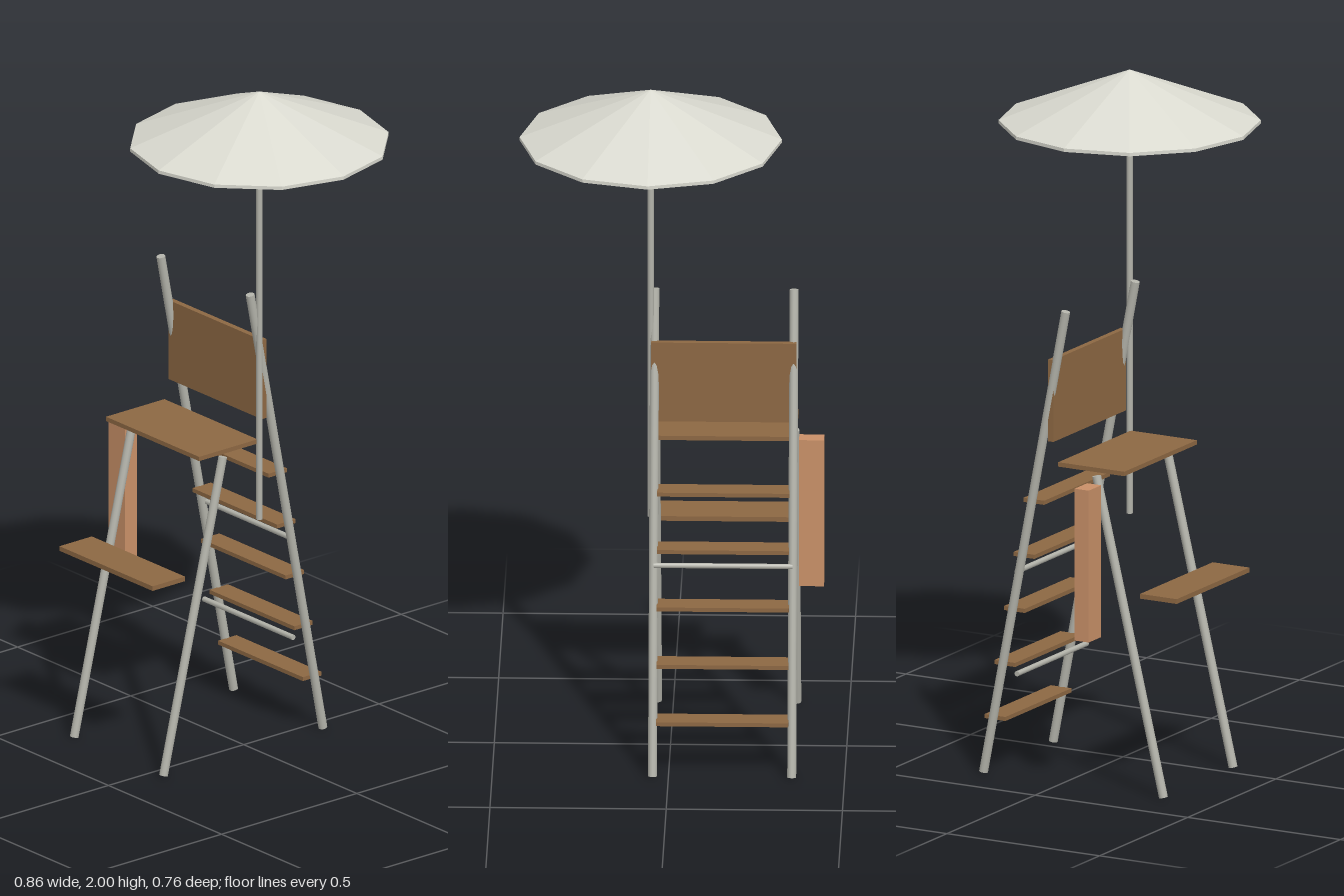
import * as THREE from 'three';

const material = (name, color, flatShading = false) => {
  const m = new THREE.MeshStandardMaterial({ color, flatShading });
  m.name = name;
  return m;
};

export function createModel() {
  const model = new THREE.Group();
  model.name = 'lifeguardChair';

  const wood = material('wood', 0x8d6843);
  const metal = material('metal', 0xb4b4ab);
  const canvas = material('canvas', 0xdadad0, true);
  const foam = material('foam', 0xc99068);

  const add = (name, geometry, mat, x = 0, y = 0, z = 0) => {
    const mesh = new THREE.Mesh(geometry, mat);
    mesh.name = name;
    mesh.position.set(x, y, z);
    model.add(mesh);
    return mesh;
  };

  // Box given by its extents on each axis
  const board = (name, mat, [x0, x1], [y0, y1], [z0, z1]) =>
    add(name, new THREE.BoxGeometry(x1 - x0, y1 - y0, z1 - z0), mat,
      (x0 + x1) / 2, (y0 + y1) / 2, (z0 + z1) / 2);

  // Round bar between two points
  const bar = (name, from, to, radius, sides = 12) => {
    const a = new THREE.Vector3(...from), b = new THREE.Vector3(...to);
    const dir = b.clone().sub(a);
    const mesh = add(name, new THREE.CylinderGeometry(radius, radius, dir.length(), sides), metal);
    mesh.position.copy(a).add(b).multiplyScalar(0.5);
    mesh.quaternion.setFromUnitVectors(new THREE.Vector3(0, 1, 0), dir.normalize());
    return mesh;
  };

  // Leaning frame: tall ladder rails behind, short legs in front
  const left = 0.045, right = -0.35;
  for (const [side, x] of [['left', left], ['right', right]]) {
    bar(side + 'LadderRail', [x, 0.003, -0.255], [x, 1.385, 0.014], 0.0128);
    bar(side + 'FrontLeg', [x, 0.003, 0.334], [x, 0.917, 0.115], 0.0128);
  }

  // Ladder steps follow the slope of the rails
  for (let i = 1; i <= 5; i++) {
    const y = i * 0.1625, z = -0.255 + 0.195 * y;
    board('step' + i, wood, [-0.34, 0.035], [y - 0.006, y + 0.006], [z - 0.034, z + 0.034]);
  }

  // Cross braces
  for (const y of [0.303, 0.603])
    bar('crossBrace', [right, y, -0.146], [left, y, -0.146], 0.008, 8);

  // Seat, backrest and footrest
  const width = [-0.358, 0.054];
  board('seat', wood, width, [0.93, 0.943], [-0.006, 0.21]);
  board('backrest', wood, width, [1.0, 1.24], [-0.039, -0.022]);
  board('footrest', wood, width, [0.578, 0.592], [0.262, 0.382]);

  // Rescue float hung on the right side
  board('rescueFloat', foam, [-0.433, -0.362], [0.45, 0.895], [0.091, 0.137]);

  // Parasol: pole, thin rim and twelve-sided canopy
  const px = 0.056, pz = -0.011, r = 0.372;
  bar('parasolPole', [px, 0.7, pz], [px, 1.87, pz], 0.009);
  add('parasolRim', new THREE.CylinderGeometry(r, r, 0.01, 12), canvas, px, 1.847, pz);
  add('parasolCanopy', new THREE.ConeGeometry(r, 0.148, 12, 1, true), canvas, px, 1.926, pz);

  return model;
}
